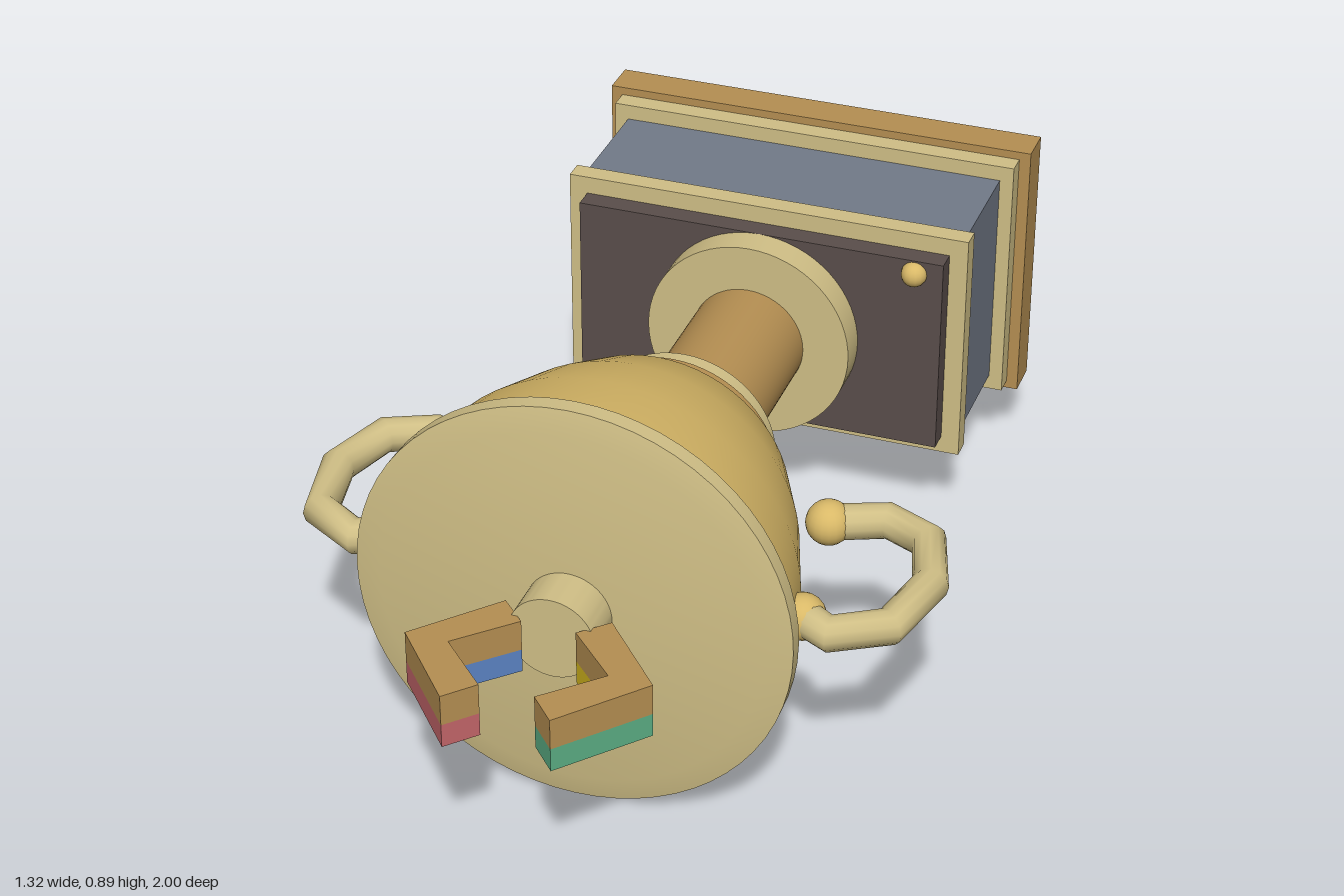
import * as THREE from 'three';
import { toCreasedNormals } from 'three/addons/utils/BufferGeometryUtils.js';

const AXIS_Y = 0.45;

function material(name, color) {
  const m = new THREE.MeshStandardMaterial({ color });
  m.name = name;
  return m;
}

export function createModel() {
  const group = new THREE.Group();
  const gold = material('gold', 0xd9b968);
  const pale = material('pale gold', 0xd0bf86);
  const bronze = material('bronze', 0xb58f52);
  const slate = material('slate', 0x727a88);
  const dark = material('dark brown', 0x5a4e4b);
  const red = material('red', 0xc4666a);
  const blue = material('blue', 0x5b84c4);
  const green = material('green', 0x5cae84);
  const yellow = material('yellow', 0xd6b81c);

  function add(name, geometry, mat, x = 0, y = AXIS_Y, z = 0) {
    const mesh = new THREE.Mesh(geometry, mat);
    mesh.name = name;
    mesh.position.set(x, y, z);
    group.add(mesh);
    return mesh;
  }
  // Box centred on the axis, spanning z0..z1
  function slab(name, halfX, halfY, z0, z1, mat) {
    add(name, new THREE.BoxGeometry(halfX * 2, halfY * 2, z1 - z0), mat, 0, AXIS_Y, (z0 + z1) / 2);
  }
  // Solid of revolution around the z axis; profile holds [radius, z]
  function turned(name, profile, mat, crease = 0.5) {
    const points = profile.map(([r, z]) => new THREE.Vector2(r, z));
    const geometry = new THREE.LatheGeometry(points, 64).rotateX(Math.PI / 2);
    add(name, toCreasedNormals(geometry, crease), mat);
  }
  function disc(name, r, z0, z1, mat) {
    turned(name, [[0, z0], [r, z0], [r, z1], [0, z1]], mat);
  }

  // Plinth
  slab('plinthFoot', 0.485, 0.3, -1, -0.915, bronze);
  slab('plinthLowerTrim', 0.46, 0.282, -0.915, -0.87, pale);
  slab('plinthBlock', 0.43, 0.248, -0.87, -0.6, slate);
  slab('plinthUpperTrim', 0.448, 0.265, -0.6, -0.555, pale);
  slab('plinthTop', 0.408, 0.226, -0.555, -0.508, dark);
  add('namePlate', new THREE.BoxGeometry(0.66, 0.024, 0.11), gold, 0, 0.192, -0.72);
  add('stud', new THREE.SphereGeometry(0.028, 16, 12), gold, 0.345, 0.645, -0.508);

  // Stem
  disc('stemFoot', 0.226, -0.508, -0.44, pale);
  disc('stemColumn', 0.125, -0.44, -0.03, bronze);
  disc('stemCollar', 0.198, -0.035, 0.032, pale);
  disc('bowlRing', 0.225, 0.032, 0.06, bronze);

  // Bowl with its closed lid
  turned('bowl', [[0, 0.06], [0.228, 0.06], [0.28, 0.12], [0.345, 0.26],
    [0.4, 0.42], [0.43, 0.575], [0, 0.575]], gold);
  turned('rim', [[0, 0.575], [0.446, 0.575], [0.447, 0.612], [0.395, 0.624], [0, 0.624]], pale);
  disc('lidKnob', 0.088, 0.62, 0.717, pale);

  // Handles: angular tubes with a ball at each end
  const path = [[0.375, 0.165], [0.485, 0.12], [0.582, 0.165], [0.625, 0.305],
    [0.59, 0.465], [0.49, 0.525], [0.425, 0.488]];
  for (const side of [1, -1]) {
    const name = side > 0 ? 'left' : 'right';
    const curve = new THREE.CatmullRomCurve3(path.map(([x, z]) => new THREE.Vector3(side * x, 0, z)));
    // Place one ring at each control point
    curve.getPointAt = (t) => curve.getPoint(t);
    curve.getTangentAt = (t) => curve.getTangent(t);
    add(name + 'Handle', new THREE.TubeGeometry(curve, path.length - 1, 0.037, 12), pale);
    for (const [x, z] of [path[0], path[path.length - 1]]) {
      add(name + 'HandleBall', new THREE.SphereGeometry(0.047, 20, 14), gold, side * x, AXIS_Y, z);
    }
  }

  // Angled brackets: bronze upper half, coloured lower half on each arm
  function arm(name, side, corners, y0, y1, mat) {
    const shape = new THREE.Shape(corners.map(([x, z]) => new THREE.Vector2(side * x, -z)));
    const geometry = new THREE.ExtrudeGeometry(shape, { depth: y1 - y0, bevelEnabled: false });
    geometry.rotateX(-Math.PI / 2);
    add(name, geometry, mat, 0, y0, 0);
  }
  const rearArm = [[0.108, 0.676], [0.055, 0.73], [0.16, 0.836], [0.248, 0.836]];
  const frontArm = [[0.248, 0.836], [0.16, 0.836], [0.055, 0.942], [0.108, 1.0]];
  for (const [side, rearMat, frontMat] of [[1, yellow, green], [-1, blue, red]]) {
    const name = side > 0 ? 'left' : 'right';
    arm(name + 'BracketRear', side, rearArm, 0.42, 0.486, bronze);
    arm(name + 'BracketFront', side, frontArm, 0.42, 0.486, bronze);
    arm(name + 'BracketRearTip', side, rearArm, 0.37, 0.42, rearMat);
    arm(name + 'BracketFrontTip', side, frontArm, 0.37, 0.42, frontMat);
  }
  return group;
}
